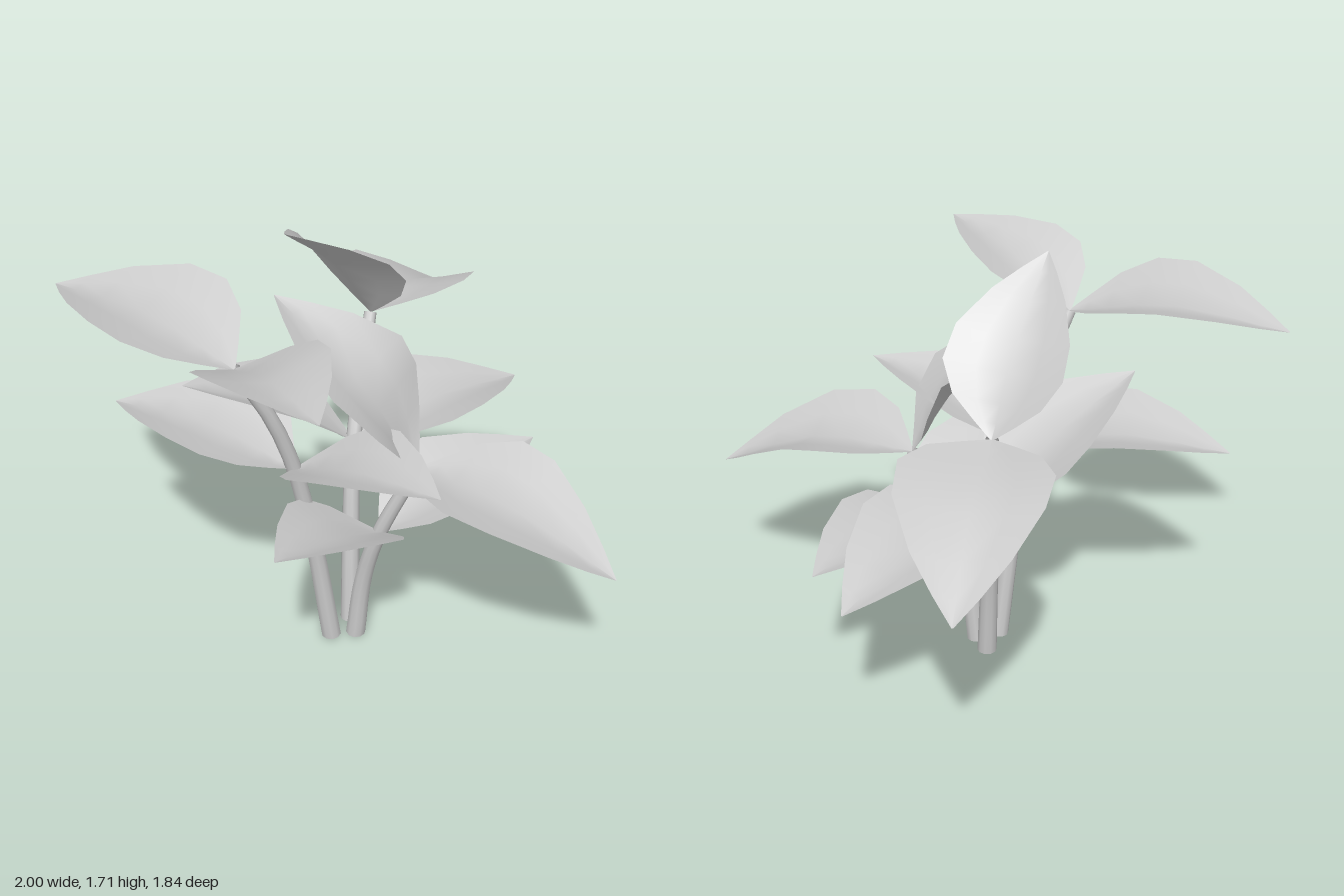
import * as THREE from 'three';

const plantGrey = new THREE.MeshStandardMaterial({ color: 0xcccccc, side: THREE.DoubleSide });
plantGrey.name = 'plant grey';

const UP = new THREE.Vector3(0, 1, 0);
const vec = (x, y, z) => new THREE.Vector3(x, y, z);

// Half-width of a leaf along its midrib, as a share of the widest point
const OUTLINE = [[0, 0.03], [0.08, 0.36], [0.18, 0.74], [0.33, 1], [0.5, 0.95], [0.72, 0.62], [0.88, 0.29], [1, 0.01]];
const COLUMNS = 5;
const FOLD = 0.3;

// A thin leaf: V-folded cross-sections swept along a midrib.
// The midrib bulges above the line from base to tip, and may sway to one side.
function addLeaf(plant, name, base, tip, bulge, halfWidth, sway = 0) {
  const chord = tip.clone().sub(base).normalize();
  const chordSide = chord.clone().cross(UP).normalize();
  const middle = base.clone().lerp(tip, 0.47)
    .addScaledVector(chordSide, sway)
    .addScaledVector(chordSide.clone().cross(chord), bulge);
  const midrib = new THREE.CatmullRomCurve3([base, middle, tip]);
  const positions = [];
  const index = [];
  OUTLINE.forEach(([t, share], row) => {
    const centre = midrib.getPointAt(t);
    const along = midrib.getTangentAt(t);
    const side = along.clone().cross(UP).normalize();
    const normal = side.clone().cross(along);
    const w = halfWidth * share;
    for (let col = 0; col < COLUMNS; col++) {
      const u = (2 * col) / (COLUMNS - 1) - 1;
      const p = centre.clone()
        .addScaledVector(side, w * u)
        .addScaledVector(normal, w * FOLD * Math.abs(u) ** 1.2);
      positions.push(p.x, p.y, p.z);
      if (row > 0 && col > 0) {
        const d = row * COLUMNS + col;
        const b = d - COLUMNS;
        index.push(b - 1, b, d, b - 1, d, d - 1);
      }
    }
  });
  const geometry = new THREE.BufferGeometry();
  geometry.setAttribute('position', new THREE.Float32BufferAttribute(positions, 3));
  geometry.setIndex(index);
  geometry.computeVertexNormals();
  const leaf = new THREE.Mesh(geometry, plantGrey);
  leaf.name = name;
  plant.add(leaf);
}

// A round stem, open at the ends and tapered from base to top
function makeStem(path) {
  const curve = new THREE.CatmullRomCurve3(path);
  const rings = 12;
  const sides = 10;
  const geometry = new THREE.TubeGeometry(curve, rings, 1, sides);
  const pos = geometry.attributes.position;
  const p = new THREE.Vector3();
  for (let i = 0; i < pos.count; i++) {
    const t = Math.floor(i / (sides + 1)) / rings;
    const centre = curve.getPointAt(t);
    p.fromBufferAttribute(pos, i).sub(centre)
      .multiplyScalar(THREE.MathUtils.lerp(0.039, 0.024, t)).add(centre);
    pos.setXYZ(i, p.x, Math.max(p.y, 0), p.z);
  }
  const stem = new THREE.Mesh(geometry, plantGrey);
  stem.name = 'stem';
  return stem;
}

// A named group holding its stem
function makePlant(name, path) {
  const plant = new THREE.Group();
  plant.name = name;
  plant.add(makeStem(path));
  return plant;
}

// Tallest stem, leaning forward
function makeFrontPlant() {
  const node = vec(-0.11, 0.845, 0.39);
  const top = vec(-0.165, 1.335, 0.6);
  const bend = vec(-0.125, 1.1, 0.48);
  const plant = makePlant('frontPlant', [vec(-0.08, 0, 0.255), vec(-0.1, 0.45, 0.31), node, bend, top]);
  addLeaf(plant, 'upperRightLeaf', top, vec(-1, 1.405, 0.73), 0.06, 0.275);
  addLeaf(plant, 'upperLeftLeaf', top, vec(0.5, 1.51, 0.82), 0.045, 0.23);
  addLeaf(plant, 'lowerRightLeaf', node, vec(-0.86, 0.91, 0.62), 0.055, 0.255);
  addLeaf(plant, 'lowerLeftLeaf', node, vec(0.59, 1.04, 0.36), 0.04, 0.23);
  return plant;
}

// Shortest stem, leaning to the left
function makeSidePlant() {
  const node = vec(0.09, 0.535, 0.15);
  const top = vec(0.215, 0.85, 0.075);
  const plant = makePlant('sidePlant', [vec(-0.02, 0, 0.178), vec(0.015, 0.28, 0.167), node, top]);
  addLeaf(plant, 'archingLeaf', top, vec(1, 0.66, -0.11), 0.075, 0.27, 0.025);
  addLeaf(plant, 'uprightLeaf', top, vec(-0.33, 1.43, 0.26), 0.085, 0.27, -0.045);
  addLeaf(plant, 'lowerFrontLeaf', node, vec(0.2, 0.79, 0.77), 0.025, 0.225);
  addLeaf(plant, 'lowerBackLeaf', node, vec(0.2, 0.66, -0.6), 0.05, 0.23, 0.015);
  return plant;
}

// Stem leaning back and to the right
function makeBackPlant() {
  const node = vec(-0.18, 0.76, 0.02);
  const top = vec(-0.305, 1.19, -0.2);
  const plant = makePlant('backPlant', [vec(-0.1, 0, 0.13), vec(-0.13, 0.4, 0.09), node, top]);
  addLeaf(plant, 'upperFrontLeaf', top, vec(-0.24, 1.71, 0.28), 0.045, 0.225);
  addLeaf(plant, 'upperBackLeaf', top, vec(-0.6, 0.94, -0.92), 0.07, 0.268, 0.01);
  addLeaf(plant, 'lowerFrontLeaf', node, vec(-0.45, 1.15, 0.61), 0.045, 0.25);
  addLeaf(plant, 'lowerBackLeaf', node, vec(-0.09, 0.73, -0.82), 0.06, 0.265, 0.01);
  return plant;
}

export function createModel() {
  const model = new THREE.Group();
  model.name = 'leafyPlant';
  model.add(makeFrontPlant(), makeSidePlant(), makeBackPlant());
  return model;
}
